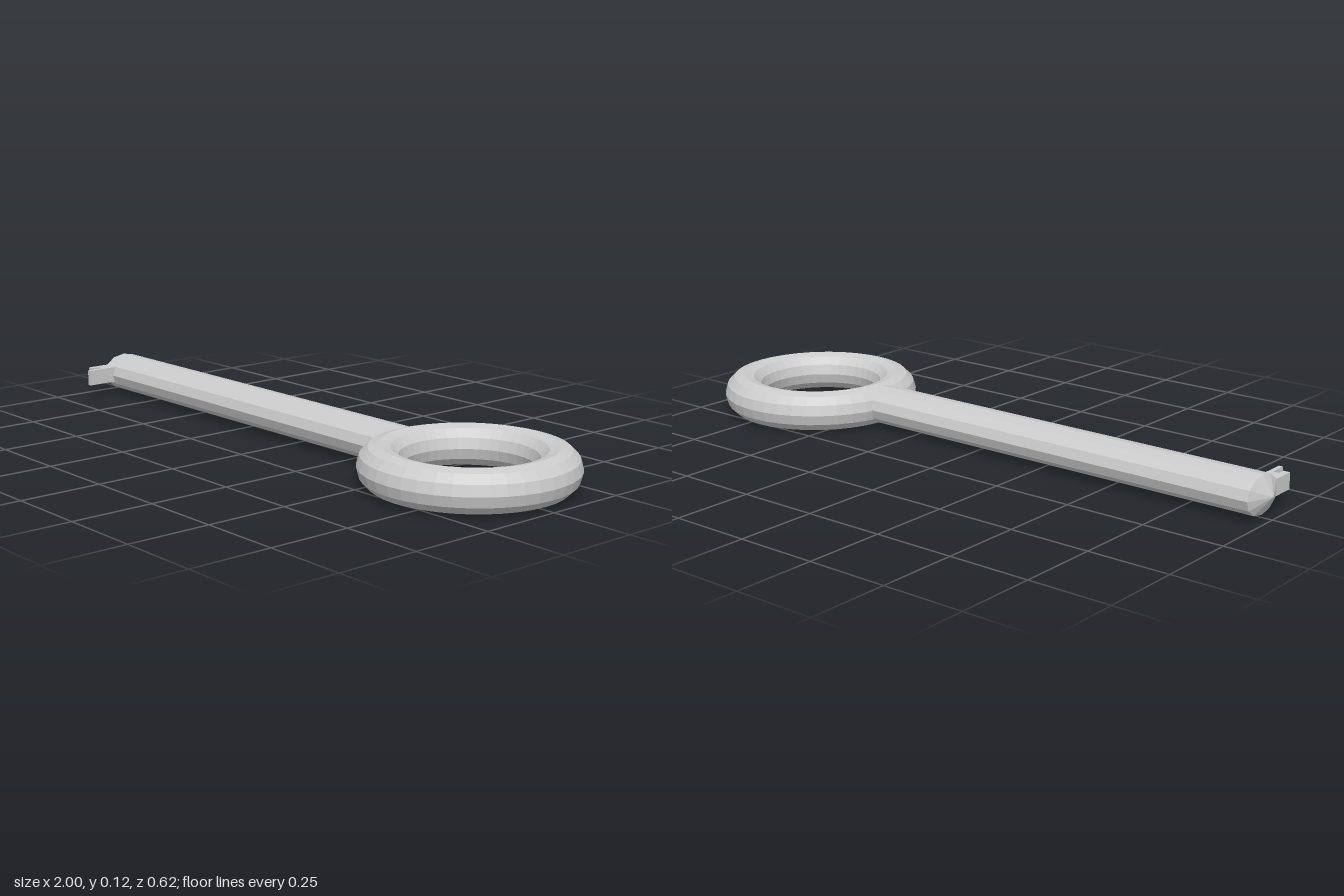
import * as THREE from 'three';

export function createModel() {
  const group = new THREE.Group();
  const material = new THREE.MeshStandardMaterial({ color: 0xcccccc, flatShading: true });
  const midY = 0.0625;

  const add = (name, geometry, x, y, z) => {
    const mesh = new THREE.Mesh(geometry, material);
    mesh.name = name;
    mesh.position.set(x, y, z);
    group.add(mesh);
    return mesh;
  };

  // Ring handle lying flat
  const ring = new THREE.TorusGeometry(0.248, 0.0625, 12, 40);
  ring.rotateX(Math.PI / 2);
  add('ringHandle', ring, 0.69, midY, 0);

  // Oval shaft with a pointed tip, lathed along x and flattened in y
  const profile = [[0, -1], [0.08, -0.966], [0.08, 0.44], [0, 0.44]]
    .map(([r, x]) => new THREE.Vector2(r, x));
  const shaft = new THREE.LatheGeometry(profile, 12);
  shaft.rotateZ(-Math.PI / 2);
  shaft.scale(1, 0.73, 1);
  add('shaft', shaft, 0, 0.065, 0);

  // Two-pronged bit: outline in (x, z), extruded through its height
  const outline = [
    [-0.97, 0.05], [-0.917, 0.05], [-0.917, 0.17], [-0.931, 0.17],
    [-0.931, 0.115], [-0.95, 0.115], [-0.95, 0.14], [-0.97, 0.14],
  ].map(([x, z]) => new THREE.Vector2(x, z));
  const bit = new THREE.ExtrudeGeometry(new THREE.Shape(outline), { depth: 0.05, bevelEnabled: false });
  bit.rotateX(Math.PI / 2);
  add('bit', bit, 0, 0.093, 0);

  return group;
}
